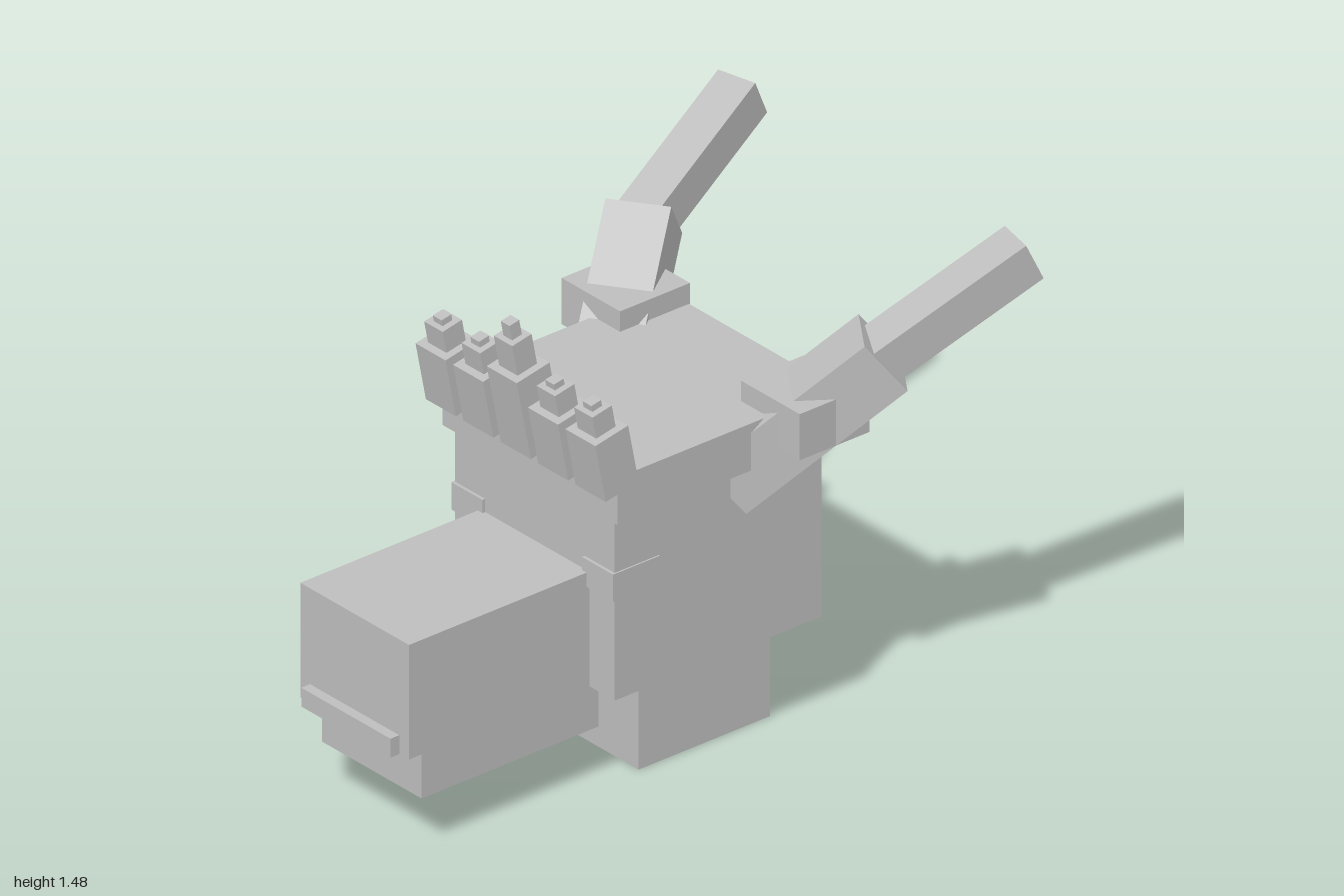
import * as THREE from 'three';

export function createModel() {
  const model = new THREE.Group();
  model.name = 'blockCreature';
  const grey = new THREE.MeshStandardMaterial({ color: 0xbdbdbd });
  grey.name = 'plain grey';

  const makeBox = (name, w, h, d) => {
    const mesh = new THREE.Mesh(new THREE.BoxGeometry(w, h, d), grey);
    mesh.name = name;
    return mesh;
  };

  // Upright box given by its extents
  const block = (name, [x0, x1], [y0, y1], [z0, z1]) => {
    const mesh = makeBox(name, x1 - x0, y1 - y0, z1 - z0);
    mesh.position.set((x0 + x1) / 2, (y0 + y1) / 2, (z0 + z1) / 2);
    model.add(mesh);
  };

  // Square beam that ends at a point and runs back along a direction
  const beam = (name, side, end, dir, size, length) => {
    const a = new THREE.Vector3(side * dir[0], dir[1], dir[2]).normalize();
    const mesh = makeBox(name, size, size, length);
    mesh.rotation.order = 'YXZ';
    mesh.rotation.y = Math.atan2(a.x, a.z);
    mesh.rotation.x = -Math.asin(a.y);
    mesh.position.set(side * end[0], end[1], end[2]).addScaledVector(a, -length / 2);
    model.add(mesh);
  };

  // Head, neck and muzzle
  block('neck', [-0.235, 0.235], [0, 0.33], [-0.35, 0.13]);
  block('head', [-0.345, 0.345], [0.33, 0.91], [-0.445, 0.31]);
  block('headCap', [-0.378, 0.378], [0.91, 1.06], [-0.473, 0.328]);
  block('snout', [-0.235, 0.235], [0.33, 0.695], [0.31, 0.968]);
  block('jaw', [-0.215, 0.215], [0.175, 0.33], [0.26, 0.905]);
  block('lip', [-0.193, 0.193], [0.33, 0.39], [0.968, 1.0]);

  // Eyes and two-part horns, mirrored
  for (const side of [1, -1]) {
    const span = (a, b) => (side > 0 ? [a, b] : [-b, -a]);
    const label = side > 0 ? 'left' : 'right';
    block(label + 'Eye', span(0.215, 0.35), [0.65, 0.737], [0.15, 0.32]);
    block(label + 'HornBase', span(0.262, 0.515), [0.978, 1.125], [-0.477, -0.222]);
    beam(label + 'HornLower', side, [0.5175, 1.215, -0.524], [0.26, 0.37, -0.37], 0.19, 0.584);
    beam(label + 'HornUpper', side, [0.609, 1.418, -0.962], [0.2, 0.423, -0.884], 0.13, 0.58);
  }

  // Row of stepped crest spikes leaning forward; the middle one is taller
  const shortSteps = [0, 0.195, 0.268, 0.288];
  const tallSteps = [0, 0.265, 0.368, 0.418];
  const sizes = [[0.13, 0.122], [0.08, 0.072], [0.038, 0.036]];
  for (let i = -2; i <= 2; i++) {
    const spike = new THREE.Group();
    spike.name = 'crestSpike' + (i + 3);
    const steps = i === 0 ? tallSteps : shortSteps;
    sizes.forEach(([w, d], k) => {
      const part = makeBox('spikeStep' + (k + 1), w, steps[k + 1] - steps[k], d);
      part.position.y = (steps[k + 1] + steps[k]) / 2;
      spike.add(part);
    });
    spike.position.set(i * 0.162, 1.018, 0.32);
    spike.rotation.x = 0.195;
    model.add(spike);
  }

  return model;
}
